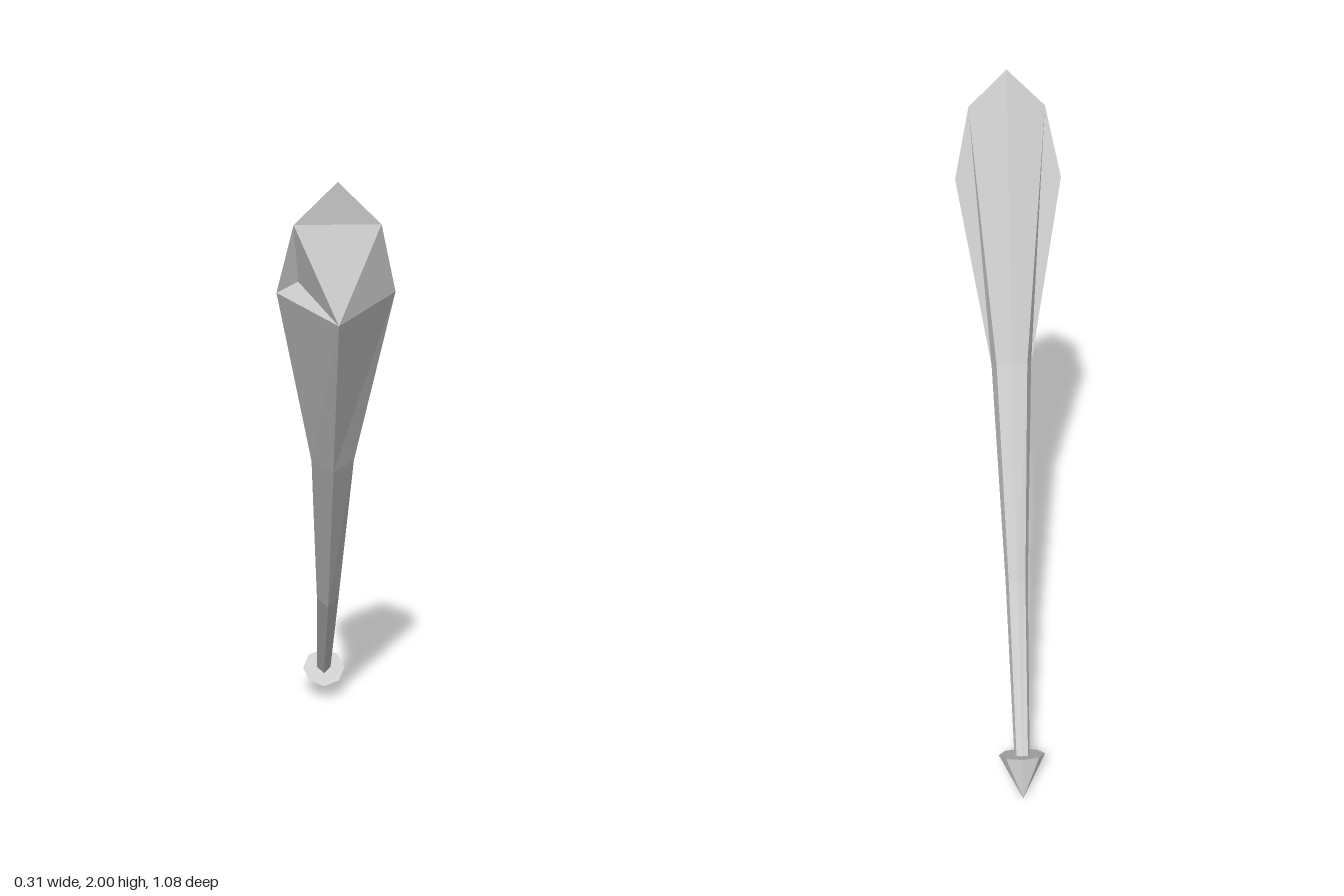
import * as THREE from 'three';

const grey = new THREE.MeshStandardMaterial({ color: 0xcccccc, flatShading: true });
const greyThin = new THREE.MeshStandardMaterial({ color: 0xcccccc, flatShading: true, side: THREE.DoubleSide });

// Six-sided ring from its right half [x, y, z]: back ridge, back corner, side corner, front ridge
function ring(back, backCorner, sideCorner, front) {
  const mirror = ([x, y, z]) => [-x, y, z];
  return [back, backCorner, sideCorner, front, mirror(sideCorner), mirror(backCorner)];
}

// Two outward triangles between side i of a lower and an upper ring
function sideFace(lower, upper, i) {
  const j = (i + 1) % 6;
  return [lower[j], lower[i], upper[i], lower[j], upper[i], upper[j]];
}

function facetMesh(name, corners, material = grey) {
  const geometry = new THREE.BufferGeometry();
  geometry.setAttribute('position', new THREE.Float32BufferAttribute(corners.flat(), 3));
  geometry.computeVertexNormals();
  const mesh = new THREE.Mesh(geometry, material);
  mesh.name = name;
  return mesh;
}

export function createModel() {
  const model = new THREE.Group();
  model.name = 'bentClub';

  // Cross-sections from the foot up to the rim of the head
  const foot = ring([0, 0.13, -0.478], [0.018, 0.127, -0.475], [0.024, 0.115, -0.46], [0, 0.1, -0.44]);
  const bend = ring([0, 0.575, -0.16], [0.026, 0.567, -0.153], [0.035, 0.55, -0.13], [0, 0.525, -0.105]);
  const neck = ring([0, 1.19, 0.155], [0.047, 1.18, 0.165], [0.061, 1.15, 0.205], [0, 1.13, 0.25]);
  const rim = ring([0, 2, 0.47], [0.112, 1.89, 0.462], [0.157, 1.695, 0.388], [0, 1.645, 0.54]);

  // Shaft, in two straight lengths
  const shaft = [];
  for (const [lower, upper] of [[foot, bend], [bend, neck]]) {
    for (let i = 0; i < 6; i++) shaft.push(...sideFace(lower, upper, i));
  }
  model.add(facetMesh('shaft', shaft));

  // Flared head; its right side is dented at one point beside the rim
  const dent = [-0.1, 1.728, 0.402];
  const [top, leftUpper, leftSide, chin, rightSide, rightUpper] = rim;
  const head = [];
  for (const i of [0, 1, 2, 3, 5]) head.push(...sideFace(neck, rim, i));
  head.push(neck[5], neck[4], dent, neck[4], rightSide, dent, neck[5], dent, rightUpper);
  model.add(facetMesh('head', head));

  // Slanted front of the head
  model.add(facetMesh('headFace', [
    top, rightUpper, leftUpper,
    rightUpper, chin, leftUpper,
    chin, leftSide, leftUpper,
    rightUpper, dent, chin,
    dent, rightSide, chin,
  ]));

  // Thin web bridging the dent
  model.add(facetMesh('dentWeb', [rightUpper, rightSide, dent], greyThin));

  // Eight-sided spike, pointing down along the lower shaft
  const base = new THREE.Vector3(0, 0.116, -0.456);
  const tip = new THREE.Vector3(0, 0, -0.537);
  const axis = tip.clone().sub(base);
  const spike = new THREE.Mesh(new THREE.ConeGeometry(0.073, axis.length(), 8), grey);
  spike.name = 'spike';
  spike.position.copy(base).add(tip).multiplyScalar(0.5);
  spike.quaternion.setFromUnitVectors(new THREE.Vector3(0, 1, 0), axis.normalize());
  model.add(spike);

  return model;
}
